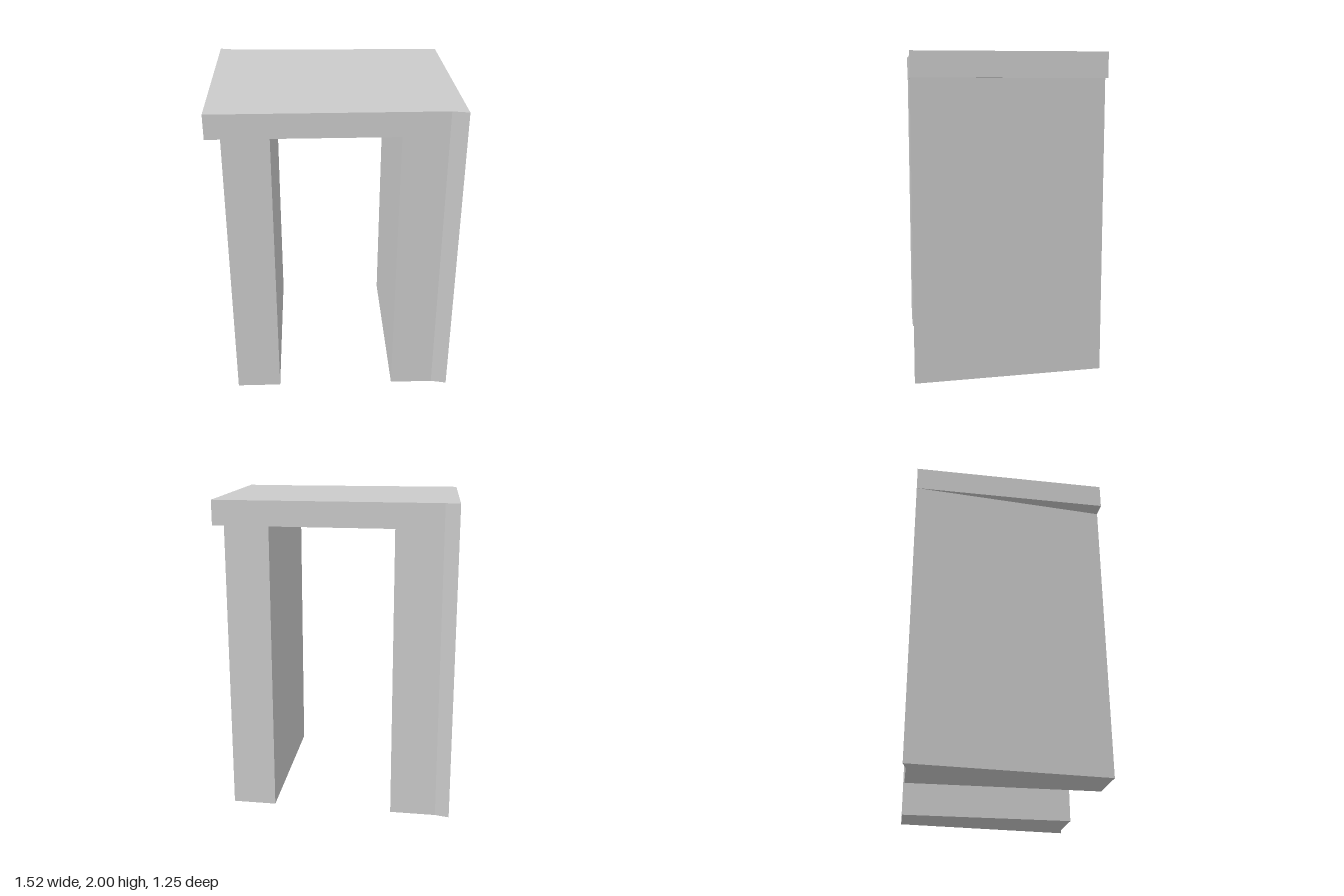
import * as THREE from 'three';

const material = new THREE.MeshStandardMaterial({ color: 0xcccccc, flatShading: true });

// Upright prism from a plan outline of [x, z] corners
function prism(name, outline, bottom, top) {
  const shape = new THREE.Shape(outline.map(([x, z]) => new THREE.Vector2(x, -z)));
  const geometry = new THREE.ExtrudeGeometry(shape, { depth: top - bottom, bevelEnabled: false });
  geometry.rotateX(-Math.PI / 2);
  geometry.translate(0, bottom, 0);
  const mesh = new THREE.Mesh(geometry, material);
  mesh.name = name;
  return mesh;
}

export function createModel() {
  const group = new THREE.Group();
  group.name = 'table';
  const underside = 1.845;

  // Slightly skewed slab with two flared corners
  group.add(prism('tableTop', [
    [-0.763, 0.6], [0.66, 0.6], [0.76, 0.622], [0.735, -0.56], [-0.675, -0.604], [-0.763, -0.625],
  ], underside, 2));

  // Panel legs, straight inside and tapering outside
  group.add(prism('leftLeg', [
    [0.382, 0.6], [0.66, 0.6], [0.76, 0.622], [0.66, -0.562], [0.382, -0.571],
  ], 0, underside));
  group.add(prism('rightLeg', [
    [-0.67, 0.6], [-0.385, 0.6], [-0.385, -0.595], [-0.675, -0.604], [-0.763, -0.625],
  ], 0, underside));

  return group;
}
